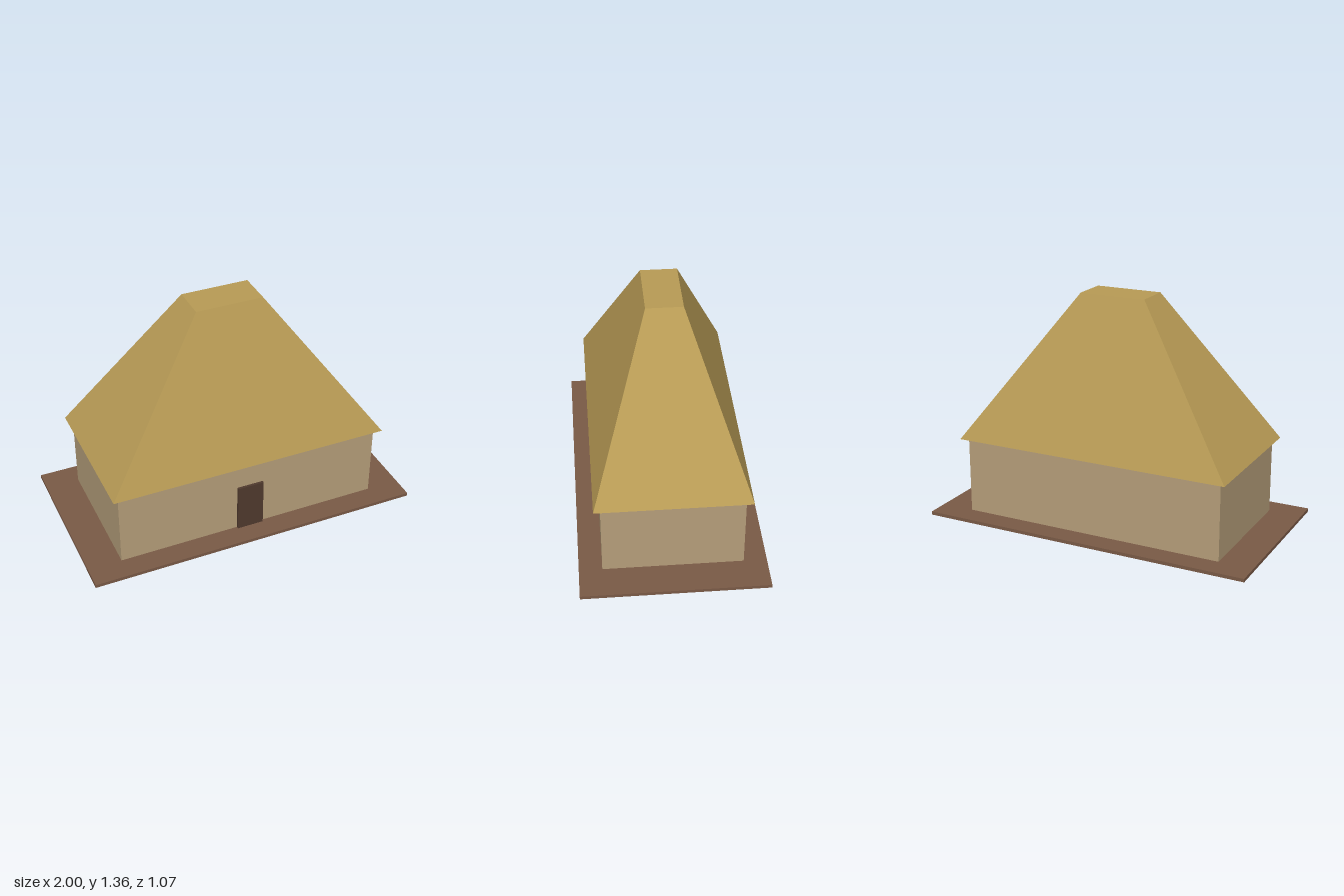
import * as THREE from 'three';

const material = (name, color) => {
  const m = new THREE.MeshStandardMaterial({ color });
  m.name = name;
  return m;
};

// Box spanning y0..y1, its top scaled in x and z to make a frustum
function block(name, mat, [width, depth], y0, y1, z = 0, topX = 1, topZ = 1) {
  const geometry = new THREE.BoxGeometry(width, y1 - y0, depth);
  const p = geometry.attributes.position;
  for (let i = 0; i < p.count; i++) {
    if (p.getY(i) > 0) {
      p.setX(i, p.getX(i) * topX);
      p.setZ(i, p.getZ(i) * topZ);
    }
  }
  geometry.computeVertexNormals();
  const mesh = new THREE.Mesh(geometry, mat);
  mesh.name = name;
  mesh.position.set(0, (y0 + y1) / 2, z);
  return mesh;
}

export function createModel() {
  const thatch = material('thatch', 0xb89b55);
  const clay = material('clay', 0xb59e7a);
  const earth = material('earth', 0x7a5a46);
  const darkWood = material('dark wood', 0x503a2e);

  const hut = new THREE.Group();
  hut.name = 'hut';
  hut.add(
    block('groundSlab', earth, [2, 1.065], 0, 0.02),
    block('walls', clay, [1.6, 0.8], 0.02, 0.477),
    // Hipped roof with overhanging eaves and a flat top
    block('roof', thatch, [1.672, 0.876], 0.477, 1.355, 0, 0.4 / 1.672, 0.21 / 0.876),
    block('door', darkWood, [0.16, 0.016], 0.02, 0.315, 0.407),
  );
  return hut;
}
